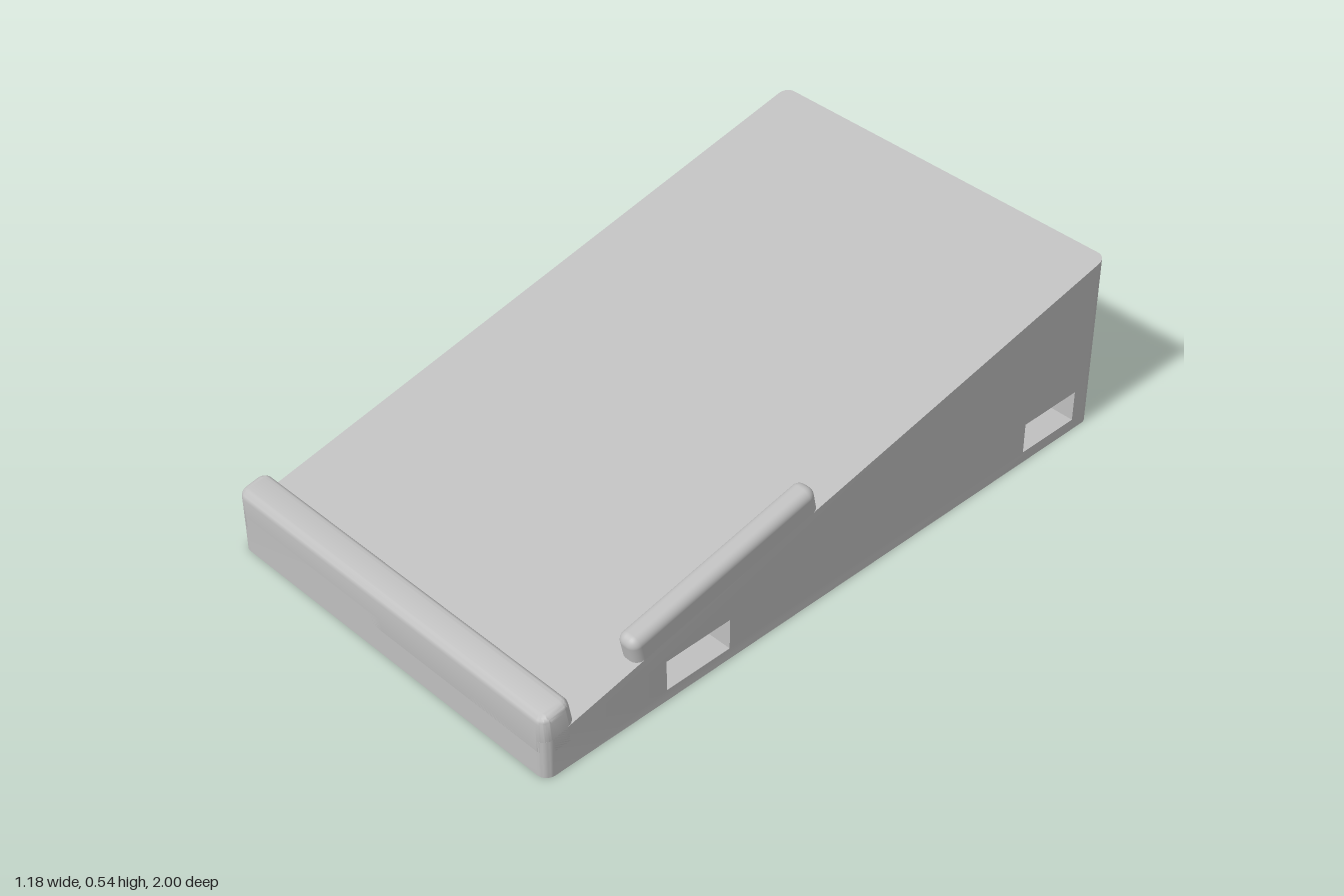
import * as THREE from 'three';
import { toCreasedNormals } from 'three/addons/utils/BufferGeometryUtils.js';
import { RoundedBoxGeometry } from 'three/addons/geometries/RoundedBoxGeometry.js';

const W = 0.59, R = 0.03, SLOPE = 0.213;
const HOLE = { y: 0.08, r: 0.022, pad: 0.04 };
const SLOT = { y0: 0.035, y1: 0.13 };
const SLOTS = [[0.39, 0.605], [-0.925, -0.72]]; // z ranges
const deckY = (z) => 0.327 - SLOPE * z;

function rect(path, x0, y0, x1, y1) {
  path.moveTo(x0, y0).lineTo(x1, y0).lineTo(x1, y1).lineTo(x0, y1).closePath();
  return path;
}

// Wedge: side profile with slots, swept across x, vertical corners rounded
function wedgeGeometry() {
  const N = 8, arc = [];
  for (let i = 0; i <= N; i++) {
    const a = (i / N) * Math.PI / 2;
    arc.push({ x: W - R + R * Math.sin(a), z: 1 - R + R * Math.cos(a) });
  }
  const slices = [
    ...arc.slice().reverse().map((s) => ({ x: -s.x, z: s.z })),
    { x: -HOLE.pad, z: 1 }, { x: HOLE.pad, z: 1 },
    ...arc,
  ];
  const shape = new THREE.Shape();
  shape.moveTo(-1, 0).lineTo(1, 0).lineTo(1, deckY(-1)).lineTo(-1, deckY(1)).closePath();
  for (const [z0, z1] of SLOTS) shape.holes.push(rect(new THREE.Path(), -z1, SLOT.y0, -z0, SLOT.y1));
  const steps = slices.length - 1;
  const geo = new THREE.ExtrudeGeometry(shape, { depth: steps, steps, bevelEnabled: false });
  geo.rotateY(Math.PI / 2);
  const p = geo.attributes.position;
  for (let i = 0; i < p.count; i++) {
    const s = slices[Math.round(p.getX(i))];
    p.setX(i, s.x);
    if (Math.abs(p.getZ(i)) > 0.99) {
      const z = Math.sign(p.getZ(i)) * s.z;
      p.setZ(i, z);
      if (p.getY(i) > 0.01) p.setY(i, deckY(z));
    }
  }
  // Leave openings where the cable hole panels go
  const kept = [];
  for (let i = 0; i < p.count; i += 3) {
    const inPanel = [0, 1, 2].every((k) => Math.abs(p.getX(i + k)) < HOLE.pad + 0.001);
    const onWall = [-1, SLOTS[1][0]].some((z) => [0, 1, 2].every((k) => Math.abs(p.getZ(i + k) - z) < 0.001));
    if (inPanel && onWall) continue;
    for (let k = 0; k < 3; k++) kept.push(p.getX(i + k), p.getY(i + k), p.getZ(i + k));
  }
  const out = new THREE.BufferGeometry();
  out.setAttribute('position', new THREE.Float32BufferAttribute(kept, 3));
  return toCreasedNormals(out, 0.6);
}

// Wall strip with the round cable hole
function holePanel(y0, y1) {
  const s = rect(new THREE.Shape(), -HOLE.pad, y0, HOLE.pad, y1);
  s.holes.push(new THREE.Path().absarc(0, HOLE.y, HOLE.r, 0, Math.PI * 2, true));
  return new THREE.ShapeGeometry(s, 12);
}

// Front lip: rounded bar, back side leaning and top tilted with the deck
function lipGeometry() {
  const z0 = 0.897, z1 = 1, b = 0.02, y0 = 0.06, y1 = 0.198;
  const s = new THREE.Shape();
  s.absarc(W - R, -z0 - R, R, 0, Math.PI / 2);
  s.absarc(-W + R, -z0 - R, R, Math.PI / 2, Math.PI);
  s.absarc(-W + R, -z1 + R, R, Math.PI, Math.PI * 1.5);
  s.absarc(W - R, -z1 + R, R, Math.PI * 1.5, Math.PI * 2);
  s.closePath();
  const geo = new THREE.ExtrudeGeometry(s, {
    depth: y1 - y0 - 2 * b, bevelThickness: b, bevelSize: b, bevelOffset: -b,
    bevelSegments: 5, curveSegments: 8,
  });
  geo.rotateX(-Math.PI / 2).translate(0, y0 + b, 0);
  const p = geo.attributes.position;
  for (let i = 0; i < p.count; i++) {
    const y = p.getY(i), z = p.getZ(i);
    const back = (z1 - z) / (z1 - z0);
    p.setZ(i, z + back * (y - 0.135) * SLOPE);
    if (y > 0.1) p.setY(i, y - (z - 0.95) * 0.17);
  }
  geo.deleteAttribute('normal');
  geo.deleteAttribute('uv');
  return toCreasedNormals(geo, 0.6);
}

export function createModel() {
  const grey = new THREE.MeshStandardMaterial({ color: 0xbfbfbf, side: THREE.DoubleSide });
  grey.name = 'grey';
  const model = new THREE.Group();
  model.name = 'slopedStand';
  const add = (name, geo) => {
    const m = new THREE.Mesh(geo, grey);
    m.name = name;
    model.add(m);
    return m;
  };

  add('wedgeBody', wedgeGeometry());
  add('frontLip', lipGeometry());

  // Side stop, sunk into the deck and square to it
  const tilt = Math.atan(SLOPE), height = 0.11, rise = 0.073;
  const stop = add('sideStop', new RoundedBoxGeometry(0.066, height, 0.636, 5, 0.026));
  const zc = 0.39, lift = rise - height / 2;
  stop.position.set(W - 0.033, deckY(zc) + lift * Math.cos(tilt), zc + lift * Math.sin(tilt));
  stop.rotation.x = tilt;

  // Cable hole from the back wall into the rear slot
  const slotZ = SLOTS[1][0];
  add('backHolePanel', holePanel(0, deckY(-1)).rotateY(Math.PI).translate(0, 0, -1));
  add('slotHolePanel', holePanel(SLOT.y0, SLOT.y1).translate(0, 0, slotZ));
  const bore = new THREE.CylinderGeometry(HOLE.r, HOLE.r, slotZ + 1, 24, 1, true);
  add('cableHole', bore.rotateX(Math.PI / 2).translate(0, HOLE.y, (slotZ - 1) / 2));

  return model;
}
